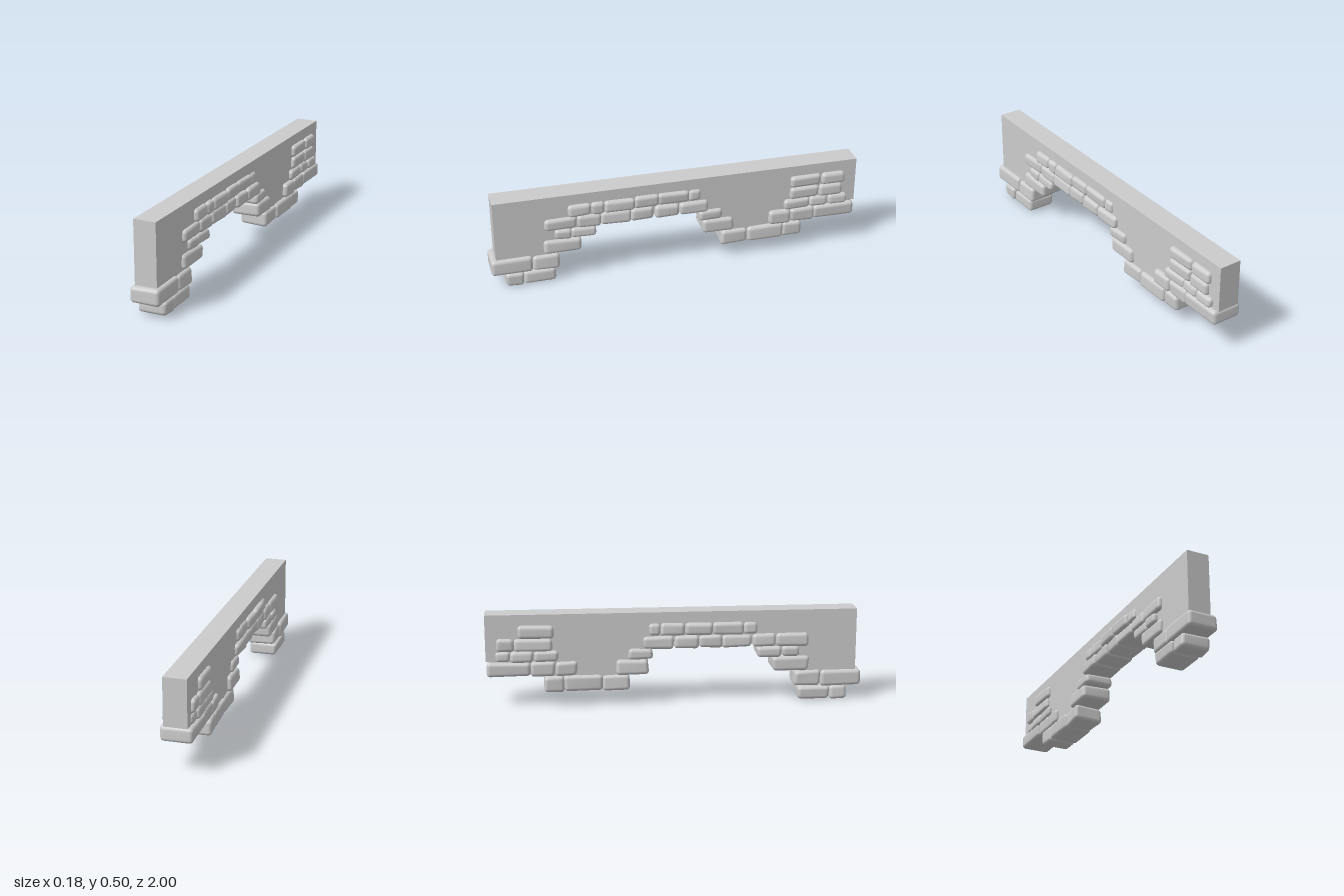
import * as THREE from 'three';
import { mergeVertices } from 'three/addons/utils/BufferGeometryUtils.js';
import { RoundedBoxGeometry } from 'three/addons/geometries/RoundedBoxGeometry.js';

// Courses of stones: height range, then runs of joints along z.
// "through" stones span the wall; "right" (+x face) and "left" (-x face) are facing stones.
const COURSES = [
  { y: [0.004, 0.079], through: [[0.925, 0.83, 0.66]] },
  { y: [0.08, 0.166], through: [[0.998, 0.78, 0.638], [-0.245, -0.39, -0.59, -0.70]] },
  { y: [0.168, 0.246], through: [[0.715, 0.52], [-0.145, -0.312], [-0.635, -0.765, -0.996]],
    right: [[-0.51, -0.635]], left: [[-0.52, -0.635]] },
  { y: [0.246, 0.305], through: [[0.66, 0.57, 0.432], [-0.12, -0.25]],
    right: [[-0.595, -0.74, -0.845, -0.955]], left: [[-0.62, -0.75, -0.87, -0.95]] },
  { y: [0.304, 0.373], through: [[0.71, 0.535, 0.41, 0.25, 0.125, -0.01, -0.17]],
    right: [[-0.63, -0.79, -0.925]], left: [[-0.65, -0.85, -0.94]] },
  { y: [0.373, 0.441], right: [[0.58, 0.46, 0.39, 0.23, 0.10, -0.065, -0.13], [-0.63, -0.80, -0.935]],
    left: [[0.44, 0.36, 0.2, 0.05, -0.08, -0.14], [-0.64, -0.83]] },
];

// Wall outline as (z, y), stepped so its lower edge hides inside the stones
const WALL = [
  [0.97, 0.5], [0.97, 0.15], [0.67, 0.15], [0.67, 0.2], [0.6, 0.2], [0.6, 0.27], [0.48, 0.27], [0.48, 0.33],
  [-0.14, 0.33], [-0.14, 0.27], [-0.21, 0.27], [-0.21, 0.2], [-0.29, 0.2], [-0.29, 0.15],
  [-0.66, 0.15], [-0.66, 0.23], [-0.98, 0.23], [-0.98, 0.25], [-1, 0.25], [-1, 0.5],
];

export function createModel() {
  const group = new THREE.Group();
  const material = new THREE.MeshStandardMaterial({ color: 0xcccccc });

  let seed = 7;
  const random = () => (seed = (seed * 16807) % 2147483647) / 2147483647;
  const jitter = (a) => (random() * 2 - 1) * a;

  // Plain plaster wall
  const outline = new THREE.Shape(WALL.map(([z, y]) => new THREE.Vector2(-z, y)));
  const wallGeometry = new THREE.ExtrudeGeometry(outline, { depth: 0.12, bevelEnabled: false });
  wallGeometry.translate(0, 0, -0.06).rotateY(Math.PI / 2);
  const wall = new THREE.Mesh(wallGeometry, material);
  wall.name = 'wall';
  group.add(wall);

  // Rounded stone whose eight corners are nudged to look hand-cut
  function addStone(name, x0, x1, y0, y1, z0, z1) {
    const size = [x1 - x0, y1 - y0, z1 - z0];
    let geometry = new RoundedBoxGeometry(...size, 4, 0.02);
    geometry.deleteAttribute('uv');
    geometry.deleteAttribute('normal');
    geometry = mergeVertices(geometry, 1e-5);
    const corners = Array.from({ length: 8 }, () =>
      new THREE.Vector3(jitter(0.006), jitter(0.004), jitter(0.005)));
    const p = geometry.attributes.position;
    const v = new THREE.Vector3();
    for (let i = 0; i < p.count; i++) {
      v.fromBufferAttribute(p, i);
      const t = [v.x / size[0] + 0.5, v.y / size[1] + 0.5, v.z / size[2] + 0.5];
      corners.forEach((c, k) => {
        const weight = t.reduce((w, f, axis) => w * ((k >> axis) & 1 ? f : 1 - f), 1);
        v.addScaledVector(c, weight);
      });
      p.setXYZ(i, v.x, v.y, v.z);
    }
    geometry.computeVertexNormals();
    const stone = new THREE.Mesh(geometry, material);
    stone.name = name;
    stone.position.set((x0 + x1) / 2, (y0 + y1) / 2, (z0 + z1) / 2);
    group.add(stone);
  }

  // Lay each course
  const face = () => 0.08 + jitter(0.005);
  const spans = {
    through: () => [-face(), face()],
    right: () => [0.02, face()],
    left: () => [-face(), -0.02],
  };
  for (const course of COURSES) {
    for (const kind of Object.keys(spans)) {
      for (const run of course[kind] ?? []) {
        for (let i = 0; i + 1 < run.length; i++) {
          const [x0, x1] = spans[kind]();
          addStone(kind + 'Stone', x0, x1, ...course.y, run[i + 1], run[i]);
        }
      }
    }
  }
  return group;
}
